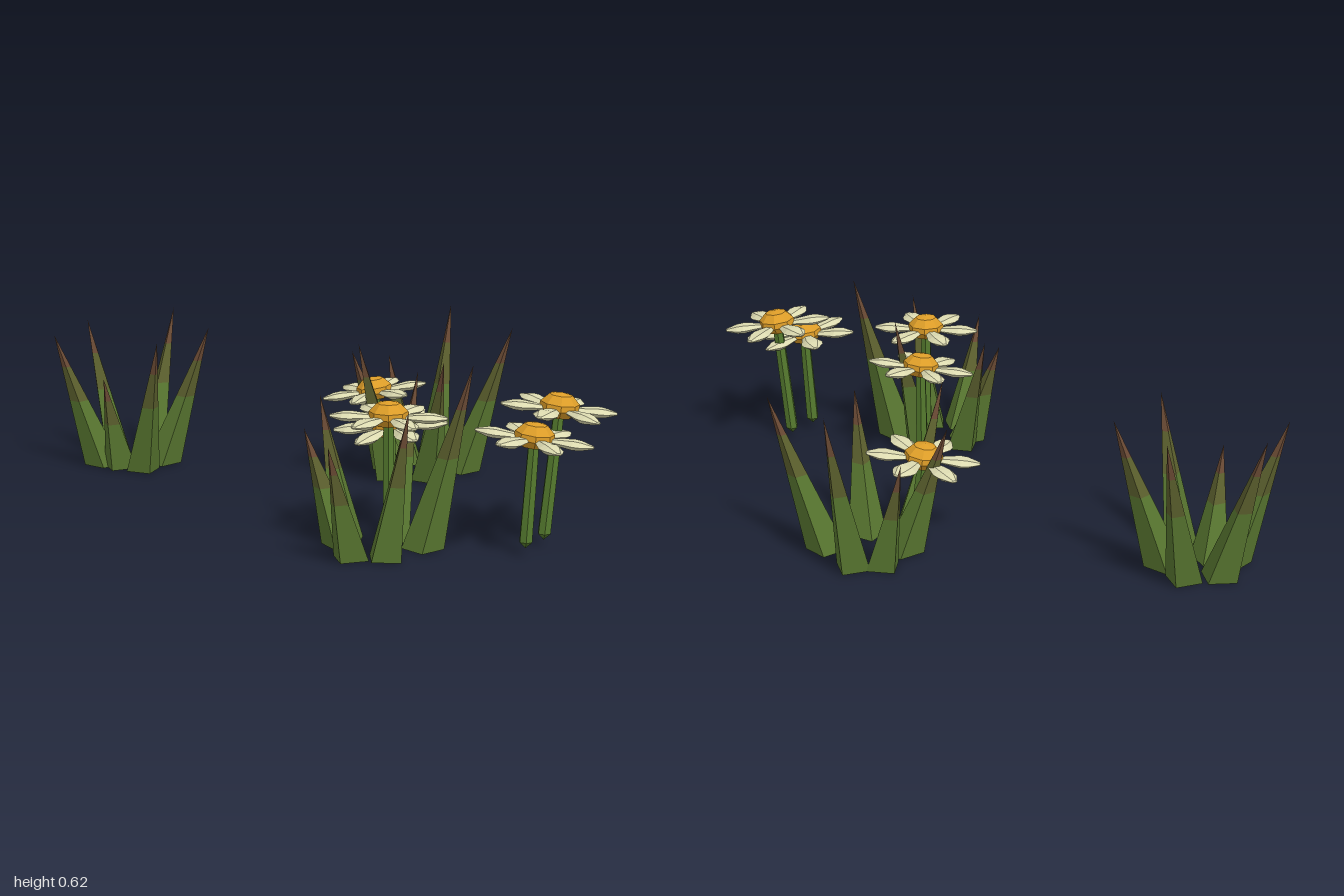
import * as THREE from 'three';

const mat = (name, color) => {
  const m = new THREE.MeshStandardMaterial({ color });
  m.name = name;
  return m;
};

// Faceted normals for the low-poly look
function faceted(g) {
  const f = g.index ? g.toNonIndexed() : g;
  f.computeVertexNormals();
  return f;
}

function add(parent, name, geometry, material) {
  const mesh = new THREE.Mesh(faceted(geometry), material);
  mesh.name = name;
  parent.add(mesh);
  return mesh;
}

export function createModel() {
  const model = new THREE.Group();
  model.name = 'daisyMeadow';

  const leaf = mat('leaf green', 0x587630);
  const olive = mat('olive leaf', 0x5c602e);
  const brown = mat('brown leaf tip', 0x6a4a34);
  const stemGreen = mat('stem green', 0x557a2e);
  const cream = mat('cream petal', 0xdcdab0);
  const yellow = mat('yellow centre', 0xdd9d28);

  // Grass blade: four-sided spike sheared from its base towards its tip, in three colour bands
  const bands = [
    ['bladeBase', 0, 0.5, leaf],
    ['bladeMiddle', 0.5, 0.76, olive],
    ['bladeTip', 0.76, 1, brown],
  ];
  function blade(parent, [bx, bz, tx, tz, h]) {
    const group = new THREE.Group();
    group.name = 'grassBlade';
    const dx = tx - bx, dz = tz - bz;
    const shear = new THREE.Matrix4().set(
      1, dx / h, 0, bx,
      0, 1, 0, 0,
      0, dz / h, 1, bz,
      0, 0, 0, 1);
    for (const [name, t0, t1, material] of bands) {
      const r = 0.07;
      const g = new THREE.CylinderGeometry(r * (1 - t1), r * (1 - t0), h * (t1 - t0), 4, 1, t0 > 0);
      g.translate(0, h * (t0 + t1) / 2, 0);
      g.scale(1, 1, 0.93);
      g.rotateY(-Math.atan2(dz, dx));
      g.applyMatrix4(shear);
      add(group, name, g, material);
    }
    parent.add(group);
  }

  // Tufts: base x, base z, tip x, tip z, height of each blade
  const tufts = {
    leftTuft: [
      [-0.61, -0.535, -0.43, -0.55, 0.52],
      [-0.67, -0.63, -0.59, -0.81, 0.55],
      [-0.785, -0.61, -0.91, -0.7, 0.52],
      [-0.83, -0.5, -1.0, -0.475, 0.5],
      [-0.67, -0.425, -0.59, -0.27, 0.515],
      [-0.76, -0.465, -0.8, -0.35, 0.36],
    ],
    backTuft: [
      [0.52, -0.46, 0.7, -0.455, 0.545],
      [0.415, -0.59, 0.48, -0.73, 0.585],
      [0.32, -0.58, 0.245, -0.67, 0.4],
      [0.26, -0.465, 0.11, -0.475, 0.45],
      [0.255, -0.35, 0.14, -0.225, 0.525],
      [0.395, -0.33, 0.445, -0.18, 0.47],
    ],
    frontTuft: [
      [0.37, 0.55, 0.525, 0.555, 0.615],
      [0.27, 0.445, 0.35, 0.31, 0.54],
      [0.12, 0.45, 0.025, 0.32, 0.46],
      [0.105, 0.52, -0.02, 0.485, 0.385],
      [0.14, 0.665, 0.07, 0.8, 0.4],
      [0.25, 0.665, 0.32, 0.73, 0.5],
    ],
  };
  for (const [name, blades] of Object.entries(tufts)) {
    const tuft = new THREE.Group();
    tuft.name = name;
    blades.forEach((b) => blade(tuft, b));
    model.add(tuft);
  }

  const lathe = (pts, n) => new THREE.LatheGeometry(pts.map(([r, y]) => new THREE.Vector2(r, y)), n);

  // Petal: flattened six-sided spindle pointing outwards along +x
  function petalGeometry() {
    const g = lathe([[0, 0.045], [0.02, 0.05], [0.04, 0.125], [0.036, 0.15], [0.012, 0.19], [0, 0.193]], 6);
    g.rotateZ(-Math.PI / 2);
    return g.scale(1, 0.42, 1);
  }

  // Flower: head position, stem foot x and z, petal turn, tilt about x and z
  function flower({ at: [x, y, z], foot: [fx, fz], turn, tiltX = 0, tiltZ = 0 }) {
    const group = new THREE.Group();
    group.name = 'flower';
    const head = new THREE.Group();
    head.name = 'flowerHead';
    head.position.set(x, y, z);
    head.rotation.set(tiltX, 0, tiltZ);
    for (let i = 0; i < 6; i++) {
      add(head, 'petal', petalGeometry(), cream).rotation.y = -turn + i * Math.PI / 3;
    }
    add(head, 'flowerCentre',
      lathe([[0, -0.028], [0.045, -0.025], [0.066, 0], [0.064, 0.02], [0.038, 0.047], [0, 0.055]], 8), yellow);
    group.add(head);

    // Stem with a pointed foot, leaning from foot to head
    const low = 0.022, h = y - low;
    const g = lathe([[0, 0], [0.023, 0.022], [0.021, h * 0.6], [0.019, h - 0.01], [0, h]], 6);
    g.applyMatrix4(new THREE.Matrix4().set(
      1, (x - fx) / h, 0, fx,
      0, 1, 0, low,
      0, (z - fz) / h, 1, fz,
      0, 0, 0, 1));
    add(group, 'stem', g, stemGreen);
    model.add(group);
  }

  [
    { at: [0.195, 0.315, -0.405], foot: [0.23, -0.4], turn: -0.12, tiltZ: 0.14 },
    { at: [0.26, 0.357, 0.33], foot: [0.26, 0.34], turn: 0.08, tiltX: 0.09, tiltZ: 0.1 },
    { at: [0.255, 0.435, 0.53], foot: [0.26, 0.53], turn: 0.08 },
    { at: [0.805, 0.46, 0.49], foot: [0.765, 0.5], turn: -0.11, tiltZ: -0.11 },
    { at: [0.72, 0.385, 0.595], foot: [0.7, 0.6], turn: 0.17, tiltZ: -0.11 },
  ].forEach(flower);

  return model;
}
